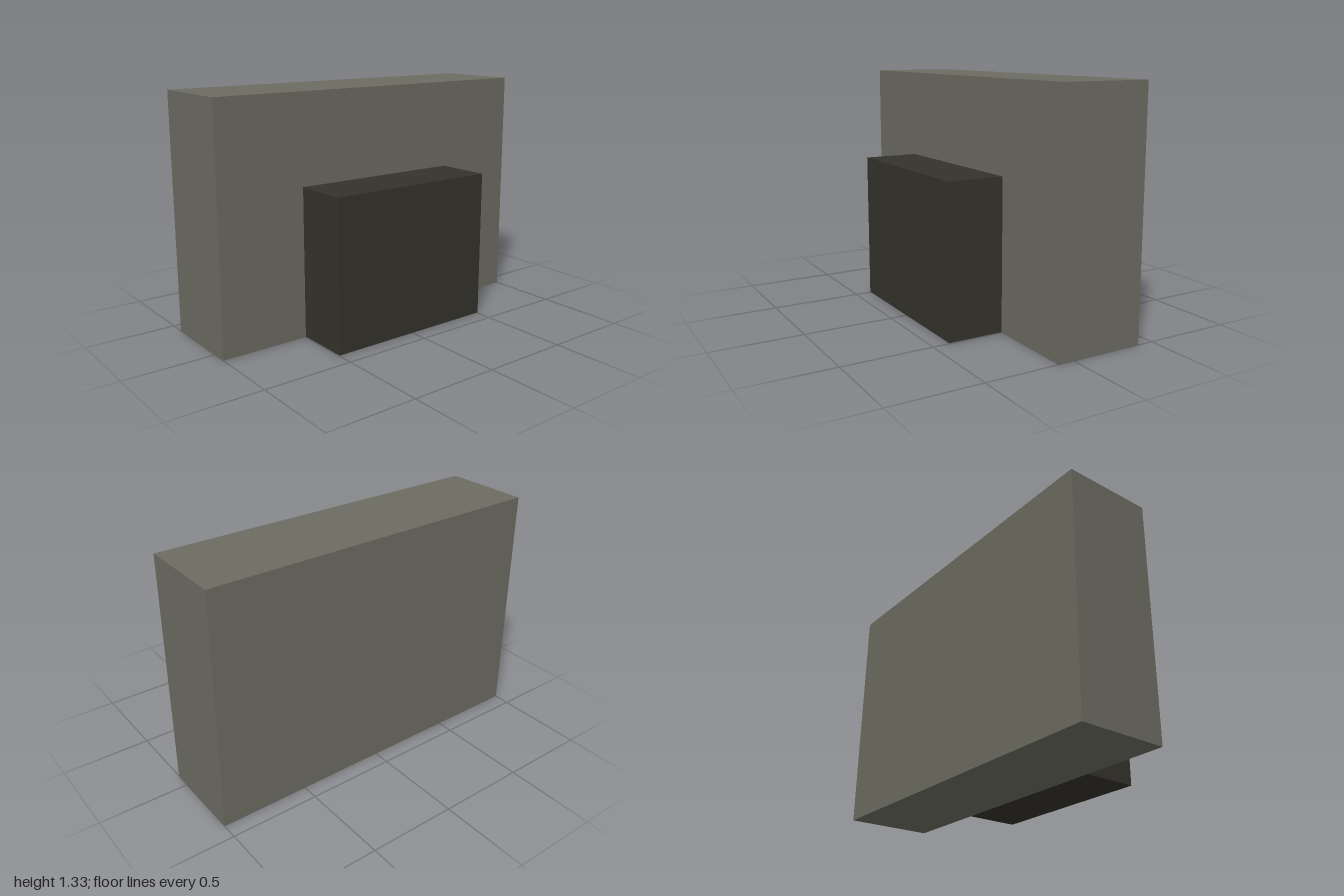
import * as THREE from 'three';

// Box given by its size, its underside height and its centre in z
function block(name, [w, h, d], bottom, z, color) {
  const mesh = new THREE.Mesh(
    new THREE.BoxGeometry(w, h, d),
    new THREE.MeshStandardMaterial({ color })
  );
  mesh.name = name;
  mesh.position.set(0, bottom + h / 2, z);
  return mesh;
}

export function createModel() {
  const group = new THREE.Group();
  group.name = 'steppedBlocks';

  const frontZ = 0.408, backZ = -0.408, mainDepth = 0.5;
  const joinZ = backZ + mainDepth;

  // Tall main slab at the back
  group.add(block('mainBlock', [2, 1.333, mainDepth], 0, backZ + mainDepth / 2, 0x6b6b61));

  // Smaller dark block standing against its front face
  group.add(block('frontBlock', [1, 0.833, frontZ - joinZ], 0.003, (frontZ + joinZ) / 2, 0x33322b));

  return group;
}
